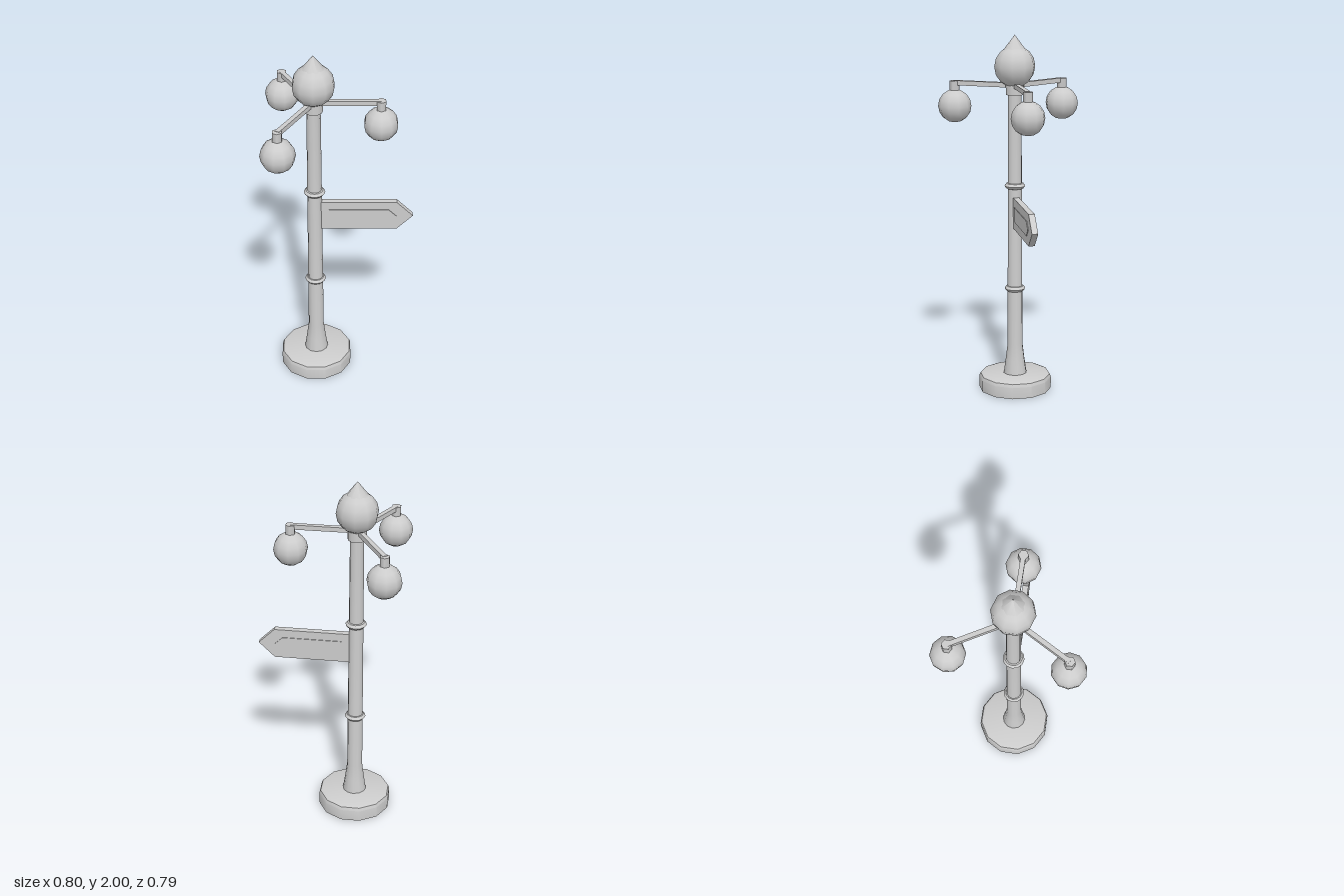
import * as THREE from 'three';
import { toCreasedNormals } from 'three/addons/utils/BufferGeometryUtils.js';

const POLE_X = -0.132;

export function createModel() {
  const model = new THREE.Group();
  model.name = 'signpostStreetLamp';
  const grey = new THREE.MeshStandardMaterial({ color: 0xcccccc });
  grey.name = 'grey';

  const add = (parent, name, geometry, x = 0, y = 0, z = 0) => {
    const mesh = new THREE.Mesh(geometry, grey);
    mesh.name = name;
    mesh.position.set(x, y, z);
    parent.add(mesh);
    return mesh;
  };
  const lathe = (points, sides) => toCreasedNormals(
    new THREE.LatheGeometry(points.map(([r, y]) => new THREE.Vector2(r, y)), sides), 0.6);
  const globe = (radius) => new THREE.SphereGeometry(radius, 10, 8).rotateY(Math.PI / 2);

  const lamp = new THREE.Group();
  lamp.name = 'lampPost';
  lamp.position.x = POLE_X;
  model.add(lamp);

  // Twelve-sided foot with a rounded upper rim
  const foot = lathe([[0, 0], [0.204, 0], [0.204, 0.065], [0.197, 0.083], [0.18, 0.09], [0, 0.09]], 12);
  add(lamp, 'foot', foot.rotateY(Math.PI / 12));

  // Flared pole with two rings and a capital
  add(lamp, 'pole', lathe([[0.066, 0.088], [0.054, 0.17], [0.043, 0.26], [0.037, 1.7]], 12));
  for (const y of [0.587, 1.173]) {
    add(lamp, 'poleRing', lathe(
      [[0.036, -0.017], [0.047, -0.014], [0.058, 0], [0.047, 0.014], [0.036, 0.017]], 12), 0, y);
  }
  add(lamp, 'capital', new THREE.CylinderGeometry(0.05, 0.05, 0.065, 12), 0, 1.71);

  // Top globe and pointed finial
  add(lamp, 'topGlobe', globe(0.113), 0, 1.83);
  add(lamp, 'finial', new THREE.ConeGeometry(0.058, 0.075, 8).rotateY(Math.PI / 8), 0, 1.9625);

  // Three arms, each with a hanging globe
  for (let i = 0; i < 3; i++) {
    const arm = new THREE.Group();
    arm.name = 'lampArm';
    arm.rotation.y = (i * Math.PI * 2) / 3;
    lamp.add(arm);
    add(arm, 'armBar', new THREE.BoxGeometry(0.35, 0.026, 0.025), 0.175, 1.728);
    add(arm, 'globeStem', new THREE.CylinderGeometry(0.027, 0.027, 0.065, 6), 0.35, 1.706);
    add(arm, 'hangingGlobe', globe(0.092), 0.35, 1.6);
  }

  // Arrow sign with a slightly raised panel on both faces
  const arrow = (x0, shoulder, tip, half, depth) => {
    const shape = new THREE.Shape();
    shape.moveTo(x0, -half);
    shape.lineTo(shoulder, -half);
    shape.lineTo(tip, 0);
    shape.lineTo(shoulder, half);
    shape.lineTo(x0, half);
    shape.closePath();
    return new THREE.ExtrudeGeometry(shape, { depth, bevelEnabled: false }).translate(0, 0, -depth / 2);
  };
  const sign = new THREE.Group();
  sign.name = 'arrowSign';
  sign.position.y = 1.026;
  model.add(sign);
  add(sign, 'signBoard', arrow(-0.11, 0.313, 0.4, 0.086, 0.033));
  add(sign, 'signPanel', arrow(-0.055, 0.268, 0.31, 0.04, 0.04));

  return model;
}
